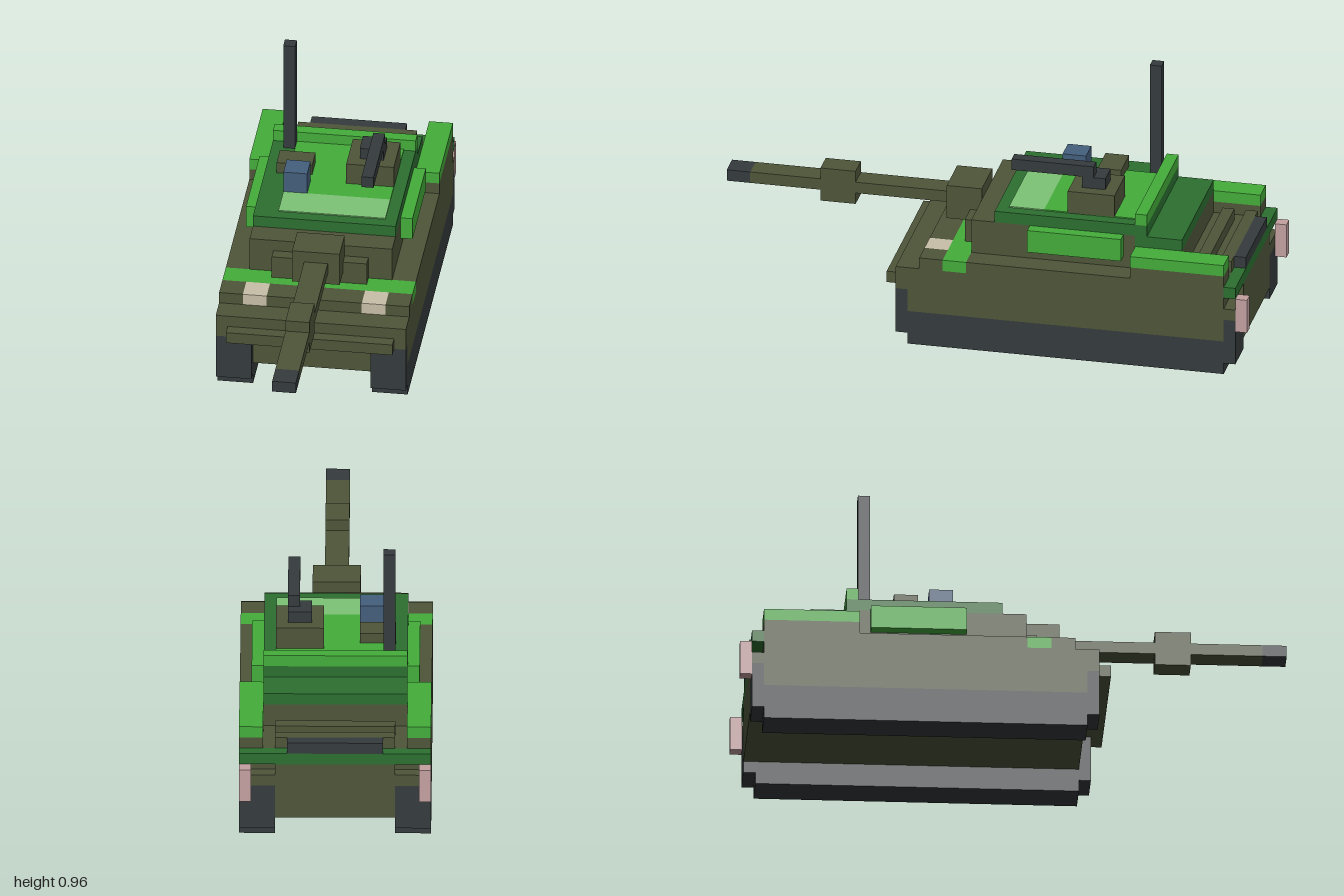
import * as THREE from 'three';

const U = 1 / 23; // one block

const flat = (name, color) => {
  const m = new THREE.MeshStandardMaterial({ color });
  m.name = name;
  return m;
};

export function createModel() {
  const olive = flat('olive', 0x4f563a);
  const bright = flat('bright green', 0x44ae3b);
  const dark = flat('dark green', 0x2c7031);
  const pale = flat('pale green', 0x7dc476);
  const black = flat('charcoal', 0x353b3d);
  const cream = flat('cream', 0xc9c0a9);
  const pink = flat('dusty pink', 0xc5a1a1);
  const blue = flat('blue glass', 0x445f7d);

  const model = new THREE.Group();
  model.name = 'tank';
  const group = (name) => {
    const g = new THREE.Group();
    g.name = name;
    model.add(g);
    return g;
  };
  // Box given by its limits in block units
  const box = (parent, name, mat, [x0, x1], [y0, y1], [z0, z1]) => {
    const m = new THREE.Mesh(
      new THREE.BoxGeometry((x1 - x0) * U, (y1 - y0) * U, (z1 - z0) * U), mat);
    m.position.set((x0 + x1) / 2 * U, (y0 + y1) / 2 * U, (z0 + z1) / 2 * U);
    m.name = name;
    parent.add(m);
  };
  // Same box on both sides
  const pair = (parent, name, mat, [x0, x1], y, z) => {
    box(parent, name + 'Left', mat, [x0, x1], y, z);
    box(parent, name + 'Right', mat, [-x1, -x0], y, z);
  };

  // Tracks
  const tracks = group('tracks');
  pair(tracks, 'trackGround', black, [5, 8], [0, 1], [-21, 6]);
  pair(tracks, 'trackBody', black, [5, 8], [1, 3], [-22, 7]);
  pair(tracks, 'trackFront', black, [5, 8], [3, 5], [6, 7]);
  pair(tracks, 'trackRear', black, [5, 8], [3, 5], [-22, -21]);

  // Hull
  const hull = group('hull');
  box(hull, 'belly', olive, [-5, 5], [2, 5], [-22, 6]);
  pair(hull, 'skirt', olive, [5, 8], [3, 5], [-21, 6]);
  box(hull, 'hullMiddle', olive, [-8, 8], [5, 7], [-21, 7]);
  box(hull, 'nosePlate', olive, [-7, 7], [5, 6], [7, 8]);
  box(hull, 'rearPlate', olive, [-5, 5], [5, 7], [-22, -21]);
  pair(hull, 'rearMudguard', olive, [5, 8], [5, 6], [-22, -21]);
  box(hull, 'rearEdge', dark, [-8, 8], [7, 8], [-22, -21]);
  box(hull, 'hullTop', olive, [-8, 8], [7, 8], [-21, 1]);
  box(hull, 'frontStripe', bright, [-8, 8], [7, 8], [1, 3]);
  box(hull, 'glacis', olive, [-4, 4], [7, 8], [3, 5]);
  pair(hull, 'headlight', cream, [4, 6], [7, 8], [3, 5]);
  pair(hull, 'frontCorner', olive, [6, 8], [7, 8], [3, 5]);
  pair(hull, 'tailLight', pink, [7, 8], [4, 7], [-23, -22]);

  // Rear deck
  const deck = group('rearDeck');
  pair(deck, 'stowageBase', olive, [6, 8], [8, 9], [-21, -13]);
  pair(deck, 'stowageTop', bright, [6, 8], [9, 10], [-21, -13]);
  for (const z of [-19, -21]) box(deck, 'engineSlat', olive, [-5, 5], [8, 9], [z, z + 1]);
  box(deck, 'exhaust', black, [-4, 4], [8, 9], [-22, -21]);

  // Turret
  const turret = group('turret');
  box(turret, 'turretBody', olive, [-6, 6], [8, 11], [-13, 1]);
  box(turret, 'turretBustle', olive, [-6, 6], [8, 10], [-17, -13]);
  box(turret, 'bustleRoof', dark, [-6, 6], [10, 11], [-17, -13]);
  box(turret, 'turretRoof', dark, [-6, 6], [11, 12], [-14, -1]);
  box(turret, 'rearRidge', bright, [-6, 6], [12, 13], [-14, -13]);
  box(turret, 'roofPatch', bright, [-4, 5], [12, 12.1], [-13, -5]);
  box(turret, 'roofHighlight', pale, [-4, 5], [12, 12.1], [-5, -2]);
  pair(turret, 'sidePanel', bright, [6, 7], [9, 11], [-12, -4]);
  box(turret, 'frontArmour', olive, [-4, 4], [8, 10], [1, 2]);

  // Main gun
  const gun = group('mainGun');
  box(gun, 'mantlet', olive, [-2, 2], [9, 12], [1, 4]);
  box(gun, 'barrel', olive, [-1, 1], [10, 11], [4, 21]);
  box(gun, 'barrelSleeve', olive, [-1, 1], [9, 12], [12, 15]);
  box(gun, 'muzzle', black, [-1, 1], [10, 11], [21, 23]);

  // Roof fittings
  const roof = group('roofFittings');
  box(roof, 'cupola', olive, [1, 5], [12, 14], [-11, -7]);
  box(roof, 'roofGunMount', black, [2, 4], [14, 15], [-10, -8]);
  box(roof, 'roofGun', black, [3, 4], [15, 16], [-9, -2]);
  box(roof, 'hatch', olive, [-5, -2], [12, 13], [-10, -8]);
  box(roof, 'sight', blue, [-4, -2], [12, 14], [-7, -5]);
  box(roof, 'antenna', black, [-5, -4], [12, 22], [-13, -12]);

  return model;
}
